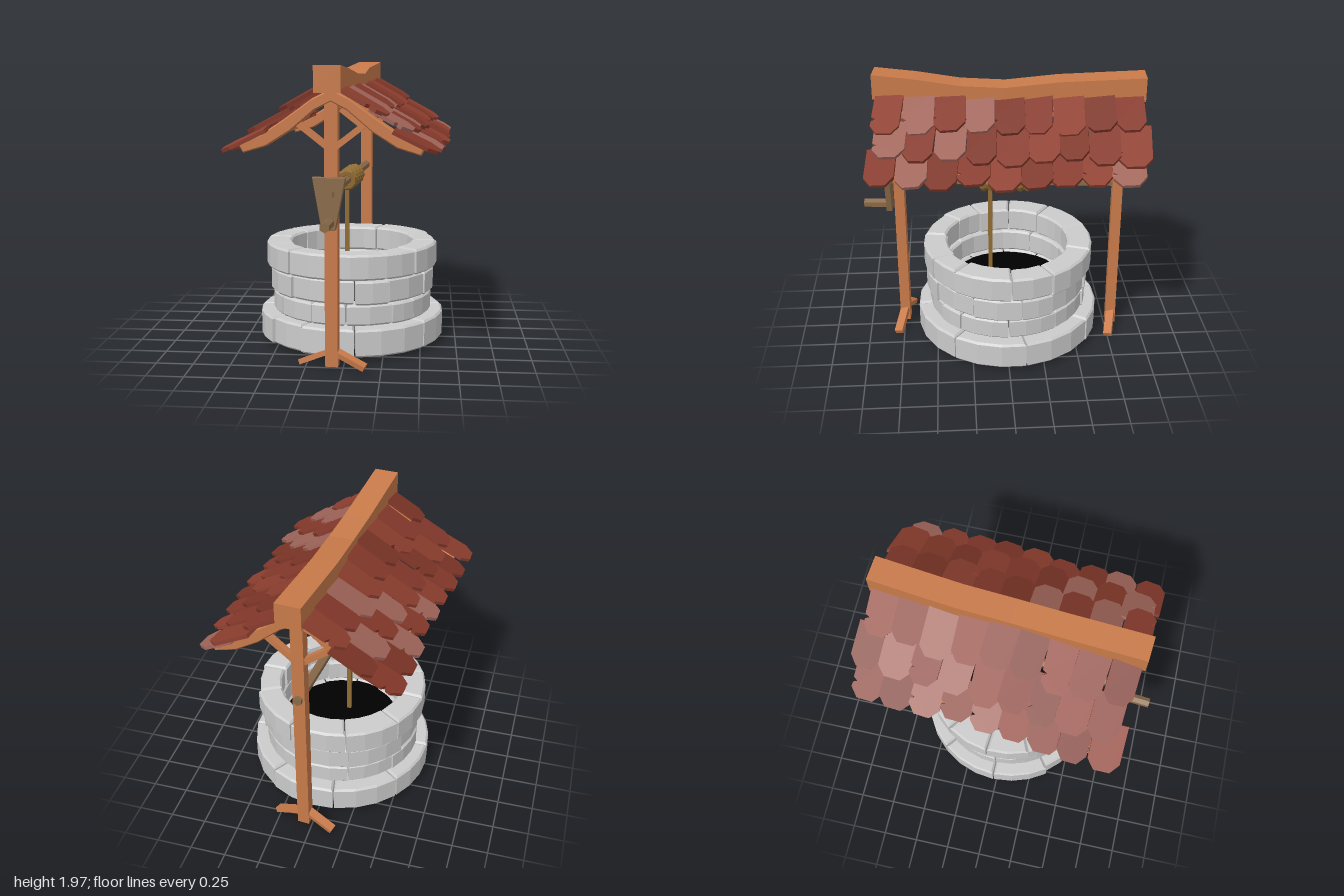
import * as THREE from 'three';

const mat = (color) => new THREE.MeshStandardMaterial({ color, flatShading: true });
const stone = mat(0xcccccc), wood = mat(0xc87a4a), darkWood = mat(0x8a6a48), rope = mat(0x8f6b32);
const tileMats = [0x7d3527, 0x86392b, 0x8e3f2f, 0xa0655a].map(mat);
const black = new THREE.MeshStandardMaterial({ color: 0x000000, side: THREE.DoubleSide });

// seeded jitter in -1..1
let seed = 7;
function jitter() {
  seed = (seed * 16807) % 2147483647;
  return (seed / 2147483647) * 2 - 1;
}

function add(parent, name, geometry, material) {
  const mesh = new THREE.Mesh(geometry, material);
  mesh.name = name;
  parent.add(mesh);
  return mesh;
}

function shapeOf(points) {
  return new THREE.Shape(points.map(([x, y]) => new THREE.Vector2(x, y)));
}

// extruded outline with a chamfer that stays inside it, centred on z = 0
function slab(points, depth, b) {
  return new THREE.ExtrudeGeometry(shapeOf(points), {
    depth: depth - 2 * b, bevelEnabled: true, bevelSegments: 1,
    bevelSize: b, bevelThickness: b, bevelOffset: -b,
  }).translate(0, 0, b - depth / 2);
}

// square bar between two points
function bar(parent, name, from, to, w, d, material = wood) {
  const a = new THREE.Vector3(...from), b = new THREE.Vector3(...to);
  const dir = b.clone().sub(a);
  const mesh = add(parent, name, new THREE.BoxGeometry(w, dir.length(), d), material);
  mesh.position.copy(a).add(b).multiplyScalar(0.5);
  mesh.quaternion.setFromUnitVectors(new THREE.Vector3(0, 1, 0), dir.normalize());
  return mesh;
}

// rod along z
function rod(parent, name, x, y, z0, z1, r, sides, material) {
  const mesh = add(parent, name, new THREE.CylinderGeometry(r, r, z1 - z0, sides).rotateX(Math.PI / 2), material);
  mesh.position.set(x, y, (z0 + z1) / 2);
  return mesh;
}

// stone rings: each block is a chamfered sector between two joint angles
function buildWall() {
  const wall = new THREE.Group();
  wall.name = 'stoneWall';
  wall.position.z = -0.02;
  const courses = [
    { y0: 0.03, y1: 0.22, inner: 0.43, outer: 0.65, joints: [-53, -28, 6, 53, 99, 147, 190, 232, 270] },
    { y0: 0.22, y1: 0.365, inner: 0.43, outer: 0.565, joints: [-55, -25, 0, 33, 52, 88, 124, 160, 200, 235, 270] },
    { y0: 0.37, y1: 0.535, inner: 0.43, outer: 0.58, joints: [-75, -41, 6, 30, 63, 97, 120, 160, 200, 242] },
    { y0: 0.54, y1: 0.715, inner: 0.44, outer: 0.608, joints: [-66, -41, -9, 27, 50, 90, 118, 160, 198, 235, 265] },
  ];
  for (const { y0, y1, inner, outer, joints } of courses) {
    joints.forEach((start, i) => {
      const end = i + 1 < joints.length ? joints[i + 1] : joints[0] + 360;
      const a0 = THREE.MathUtils.degToRad(start + 0.4), a1 = THREE.MathUtils.degToRad(end - 0.4);
      const steps = Math.max(2, Math.round((end - start) / 14));
      const ro = outer + 0.012 * jitter(), ri = inner + 0.012 * jitter();
      const points = [];
      for (let k = 0; k <= steps; k++) {
        const a = a0 + ((a1 - a0) * k) / steps;
        points.push([ro * Math.sin(a), -ro * Math.cos(a)]);
      }
      for (let k = steps; k >= 0; k--) {
        const a = a0 + ((a1 - a0) * k) / steps;
        points.push([ri * Math.sin(a), -ri * Math.cos(a)]);
      }
      const block = add(wall, 'stoneBlock', slab(points, y1 - y0, 0.014).rotateX(-Math.PI / 2), stone);
      block.position.y = (y0 + y1) / 2;
      block.rotation.set(0.004 * jitter(), 0, 0.004 * jitter());
    });
  }
  const water = add(wall, 'water', new THREE.CircleGeometry(0.46, 24).rotateX(-Math.PI / 2), black);
  water.position.y = 0.35;
  return wall;
}

// one end frame: post, curved rafters, braces and feet
function buildEndFrame(z) {
  const frame = new THREE.Group();
  frame.name = 'endFrame';
  frame.position.z = z;
  bar(frame, 'post', [0, 0.015, 0], [0, 1.82, 0], 0.085, 0.072);
  const upper = [[0.12, 1.76], [0.3, 1.63], [0.45, 1.53], [0.6, 1.465]];
  const lower = [[0.57, 1.41], [0.42, 1.455], [0.26, 1.555], [0.1, 1.69]];
  const half = [...upper, ...lower];
  const flipped = half.map(([x, y]) => [-x, y]).reverse();
  add(frame, 'rafters', slab([[0, 1.82], ...half, [0, 1.74], ...flipped], 0.085, 0.008), wood);
  for (const s of [-1, 1]) {
    bar(frame, 'brace', [s * 0.02, 1.45, 0], [s * 0.24, 1.62, 0], 0.04, 0.045);
    bar(frame, 'foot', [s * 0.03, 0.105, 0], [s * 0.22, 0.02, 0.03 * s], 0.035, 0.06);
  }
  return frame;
}

// shingle with a clipped lower end, some with a nick in one side
function tileGeometry(w, length, nick) {
  const h = w / 2, c = 0.065;
  const points = [[-h, 0], [h, 0]];
  if (nick) points.push([h, length * 0.6], [h - 0.03, length * 0.66], [h - 0.004, length * 0.7]);
  points.push([h, length - c], [h * 0.5, length], [-h * 0.5, length], [-h, length - c]);
  return new THREE.ExtrudeGeometry(shapeOf(points), { depth: 0.024, bevelEnabled: false });
}

function buildTiles() {
  const tiles = new THREE.Group();
  tiles.name = 'roofTiles';
  const rows = [ // upper edge to lower edge on the slope
    { from: [0.05, 1.825], to: [0.335, 1.665], shift: 0 },
    { from: [0.25, 1.685], to: [0.53, 1.535], shift: -0.03 },
    { from: [0.4, 1.555], to: [0.67, 1.425], shift: 0.02 },
  ];
  const count = 9, pitch = 0.2;
  for (const s of [-1, 1]) {
    rows.forEach(({ from, to, shift }, r) => {
      const down = new THREE.Vector3(s * (to[0] - from[0]), to[1] - from[1], 0);
      const length = down.length();
      down.normalize();
      const normal = new THREE.Vector3(-s * down.y, Math.abs(down.x), 0);
      const across = down.clone().cross(normal);
      const basis = new THREE.Matrix4().makeBasis(across, down, normal);
      for (let i = 0; i < count; i++) {
        const geometry = tileGeometry(0.205 + 0.015 * jitter(), length + 0.025 * jitter(), jitter() > 0.5);
        geometry.rotateY(s * 0.09 + 0.03 * jitter()).rotateZ(0.05 * jitter());
        const pale = (i * 5 + r * 4 + (s > 0 ? 2 : 0)) % 9 < 2 && r + i > 1;
        const tile = add(tiles, 'tile', geometry, pale ? tileMats[3] : tileMats[(i * 2 + r + s + 3) % 3]);
        tile.applyMatrix4(basis);
        tile.position.set(s * from[0], from[1] + 0.008 * jitter(), (i - (count - 1) / 2) * pitch + shift);
      }
    });
    bar(tiles, 'eaveBatten', [s * 0.55, 1.465, -0.82], [s * 0.55, 1.465, 0.82], 0.045, 0.03);
  }
  return tiles;
}

// sagging ridge beam, warped from a segmented box
function buildRidge() {
  const stations = [ // z, centre x, bottom y, top y
    [-0.915, 0, 1.80, 1.965], [-0.33, -0.005, 1.775, 1.93], [0.03, 0.015, 1.75, 1.895],
    [0.33, 0.012, 1.755, 1.905], [0.64, 0, 1.785, 1.945], [0.92, -0.005, 1.80, 1.97],
  ];
  const n = stations.length - 1;
  const geometry = new THREE.BoxGeometry(0.172, 1, n, 1, 1, n);
  const p = geometry.attributes.position;
  for (let i = 0; i < p.count; i++) {
    const [z, x, y0, y1] = stations[Math.round(p.getZ(i) + n / 2)];
    p.setXYZ(i, p.getX(i) + x, p.getY(i) > 0 ? y1 : y0, z);
  }
  geometry.computeVertexNormals();
  return geometry;
}

function buildWindlass() {
  const windlass = new THREE.Group();
  windlass.name = 'windlass';
  const y = 1.165;
  rod(windlass, 'axle', 0, y, -0.83, 0.905, 0.032, 6, darkWood);
  // crank
  const plate = [[-0.105, 1.27], [0.11, 1.27], [0.045, 0.935], [-0.045, 0.935]];
  add(windlass, 'crankPlate', slab(plate, 0.042, 0.004), darkWood).position.set(-0.006, 0, 0.855);
  rod(windlass, 'crankHandle', 0, 0.98, 0.84, 1.036, 0.034, 6, darkWood);
  // wound rope
  rod(windlass, 'ropeCore', 0, y, -0.15, 0.2, 0.06, 8, rope);
  for (let i = 0; i < 7; i++) {
    const coil = add(windlass, 'ropeCoil', new THREE.TorusGeometry(0.05, 0.028, 6, 9), rope);
    coil.position.set(0, y, -0.13 + i * 0.052);
    coil.rotation.set(0.08, 0.08 * jitter(), i * 0.4);
  }
  bar(windlass, 'hangingRope', [-0.008, 0.35, 0.135], [-0.008, y, 0.135], 0.03, 0.03, rope);
  return windlass;
}

export function createModel() {
  const model = new THREE.Group();
  model.name = 'well';
  model.add(buildWall());
  // the timber part stands slightly turned over the wall
  const timber = new THREE.Group();
  timber.name = 'timberFrame';
  timber.rotation.y = -0.083;
  timber.position.set(-0.007, 0, -0.035);
  timber.add(buildEndFrame(0.78), buildEndFrame(-0.765), buildTiles(), buildWindlass());
  add(timber, 'ridgeBeam', buildRidge(), wood);
  model.add(timber);
  return model;
}
